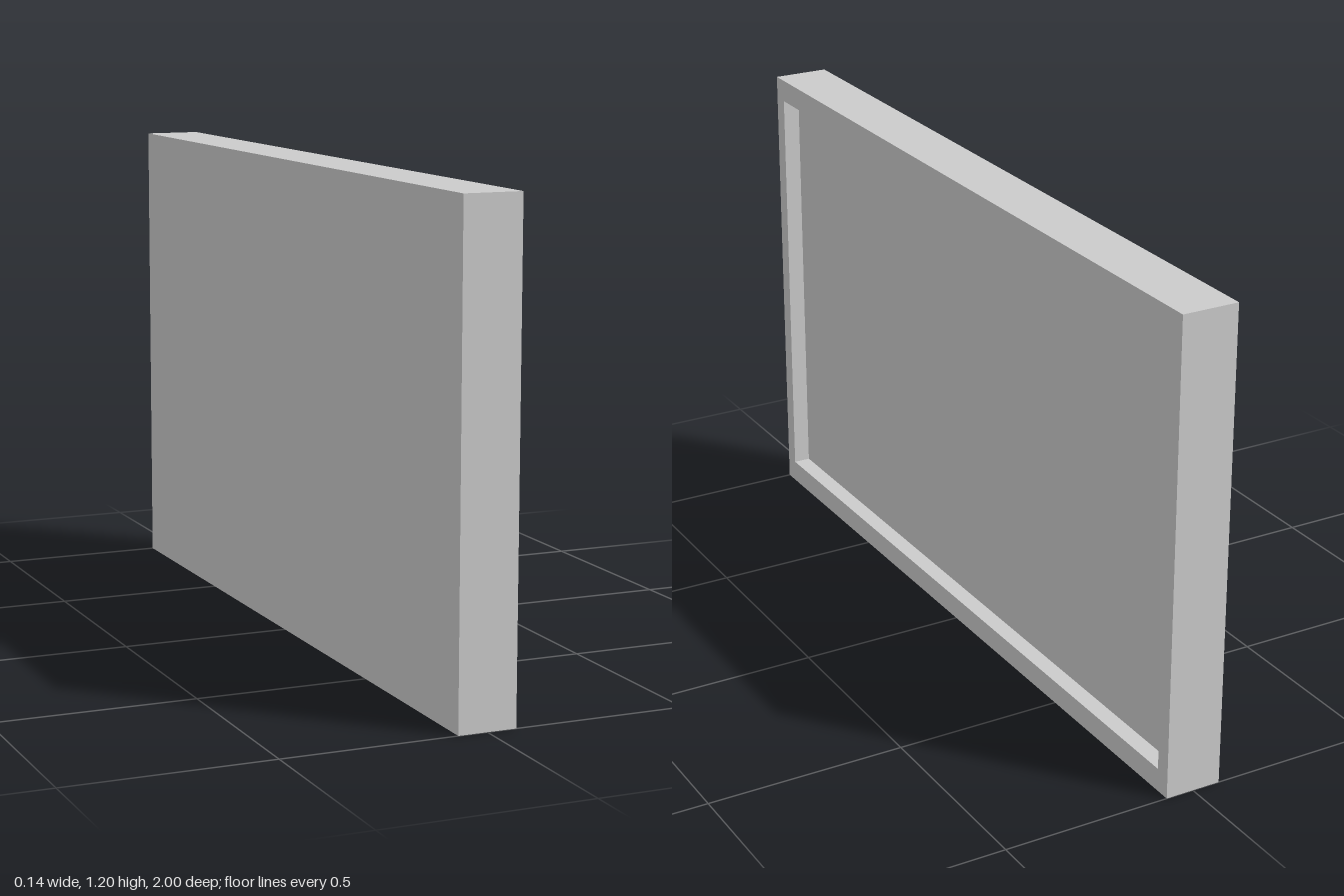
import * as THREE from 'three';

const WIDTH = 2, HEIGHT = 1.2, DEPTH = 0.144; // along z, y, x
const RECESS = 0.044;                          // how far the panel sits behind the rim
const SIDE = 0.04, RAIL = 0.058;               // rim widths: sides, top and bottom

function rectangle(PathType, w, h) {
  const p = new PathType();
  p.moveTo(-w / 2, -h / 2);
  p.lineTo(w / 2, -h / 2);
  p.lineTo(w / 2, h / 2);
  p.lineTo(-w / 2, h / 2);
  p.closePath();
  return p;
}

// Extrude a shape so that it faces +x, from x0 to x0 + thickness
function slab(name, shape, x0, thickness, material) {
  const geometry = new THREE.ExtrudeGeometry(shape, { depth: thickness, bevelEnabled: false });
  geometry.rotateY(Math.PI / 2);
  geometry.translate(x0, HEIGHT / 2, 0);
  const mesh = new THREE.Mesh(geometry, material);
  mesh.name = name;
  return mesh;
}

export function createModel() {
  const group = new THREE.Group();
  group.name = 'framedPanel';
  const material = new THREE.MeshStandardMaterial({ color: 0xcccccc });

  // Solid body whose +x side is the recessed panel
  const body = rectangle(THREE.Shape, WIDTH, HEIGHT);
  group.add(slab('backPanel', body, -DEPTH / 2, DEPTH - RECESS, material));

  // Raised rim around the panel
  const rim = rectangle(THREE.Shape, WIDTH, HEIGHT);
  rim.holes.push(rectangle(THREE.Path, WIDTH - 2 * SIDE, HEIGHT - 2 * RAIL));
  group.add(slab('frame', rim, DEPTH / 2 - RECESS, RECESS, material));

  return group;
}
